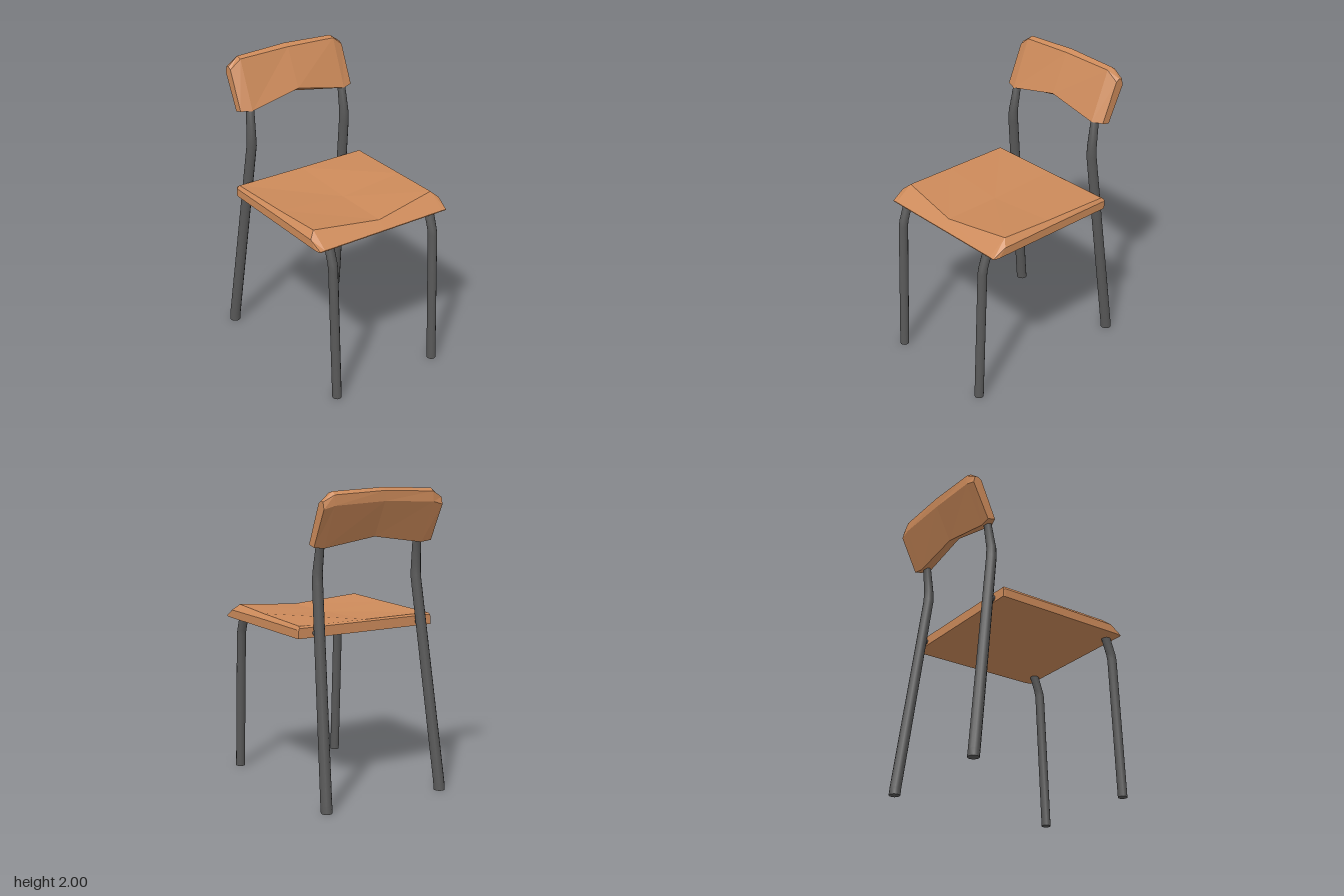
import * as THREE from 'three';
import { toCreasedNormals } from 'three/addons/utils/BufferGeometryUtils.js';

// Skin a closed solid over rings of points; rings run clockwise around the loft direction.
function loft(rings) {
  const n = rings[0].length, last = (rings.length - 1) * n, index = [];
  for (let r = 0; r < rings.length - 1; r++) {
    for (let i = 0; i < n; i++) {
      const a = r * n + i, b = r * n + (i + 1) % n;
      index.push(a, a + n, b + n, a, b + n, b);
    }
  }
  for (let i = 1; i < n - 1; i++) {
    index.push(0, i, i + 1, last, last + i + 1, last + i);
  }
  const geo = new THREE.BufferGeometry();
  geo.setAttribute('position', new THREE.Float32BufferAttribute(rings.flat(2), 3));
  geo.setIndex(index);
  const flat = geo.toNonIndexed();
  flat.computeVertexNormals();
  return flat;
}

// Leg through [x, y, z, radius] stations, with level rings so the feet sit flat.
function legGeometry(stations, sides = 12) {
  const rings = stations.map(([x, y, z, r]) => Array.from({ length: sides }, (_, i) => {
    const a = i / sides * Math.PI * 2;
    return [x + Math.cos(a) * r, y, z + Math.sin(a) * r];
  }));
  return toCreasedNormals(loft(rings), 0.8);
}

// Seat cross-section: top, side and bottom points, each [x, y, z]; the centre is [y, z].
function seatRing(top, centre, side, bottom) {
  const mirror = ([x, y, z]) => [-x, y, z];
  return [mirror(top), [0, ...centre], top, side, bottom, mirror(bottom), mirror(side)];
}

export function createModel() {
  const wood = new THREE.MeshStandardMaterial({ color: 0xcc8a5a });
  const metal = new THREE.MeshStandardMaterial({ color: 0x585858 });
  wood.name = 'wood';
  metal.name = 'darkMetal';
  const chair = new THREE.Group();
  chair.name = 'chair';
  const add = (name, geometry, material) => {
    const mesh = new THREE.Mesh(geometry, material);
    mesh.name = name;
    chair.add(mesh);
    return mesh;
  };

  // Seat: dished top, bevelled sides and a front edge sloping down to a thin lip
  add('seat', loft([
    seatRing([0.5, 1.145, -0.41], [1.145, -0.41], [0.505, 1.13, -0.41], [0.505, 1.08, -0.41]),
    seatRing([0.492, 1.157, -0.395], [1.155, -0.395], [0.508, 1.135, -0.395], [0.508, 1.08, -0.395]),
    seatRing([0.478, 1.168, 0.08], [1.138, 0.1], [0.506, 1.14, 0.08], [0.506, 1.083, 0.08]),
    seatRing([0.462, 1.18, 0.435], [1.137, 0.495], [0.505, 1.14, 0.47], [0.505, 1.086, 0.52]),
    seatRing([0.46, 1.092, 0.56], [1.092, 0.56], [0.495, 1.09, 0.56], [0.495, 1.086, 0.56]),
  ]), wood);

  // Backrest: leaning panel with an arched lower edge and bevelled ends, [y, z] per section
  const end = [[1.66, -0.43], [1.915, -0.54], [1.93, -0.565], [1.925, -0.59], [1.88, -0.6], [1.645, -0.485]];
  const shoulder = [[1.655, -0.405], [1.975, -0.535], [1.985, -0.575], [1.965, -0.603], [1.9, -0.605], [1.635, -0.48]];
  const middle = [[1.73, -0.415], [1.985, -0.535], [2.0, -0.58], [1.98, -0.603], [1.915, -0.6], [1.69, -0.49]];
  const sections = [[-0.44, end], [-0.365, shoulder], [0, middle], [0.365, shoulder], [0.44, end]];
  add('backrest', loft(sections.map(([x, ring]) => ring.map(([y, z]) => [x, y, z]))), wood);

  // Legs: bent front pair, and rear pair rising to carry the backrest
  for (const [side, frontX, footX, seatX, bendX] of [
    ['left', 0.39, 0.415, 0.385, 0.37],
    ['right', -0.4, -0.463, -0.398, -0.377],
  ]) {
    const top = Math.sign(bendX) * 0.365;
    add(side + 'FrontLeg', legGeometry([
      [frontX, 0, 0.6, 0.031], [frontX, 0.94, 0.558, 0.031],
      [frontX, 0.98, 0.55, 0.031], [frontX, 1.1, 0.508, 0.031],
    ]), metal);
    add(side + 'RearLeg', legGeometry([
      [footX, 0, -0.588, 0.037], [footX, 0.05, -0.583, 0.037],
      [bendX, 1.41, -0.413, 0.034], [bendX, 1.48, -0.413, 0.032],
      [top, 1.65, -0.435, 0.027], [top, 1.71, -0.46, 0.025],
    ]), metal);

    // Short peg joining the seat to the rear leg
    const peg = add(side + 'SeatPeg', new THREE.CylinderGeometry(0.02, 0.02, 0.07, 10), metal);
    peg.rotation.x = Math.PI / 2;
    peg.position.set(seatX, 1.108, -0.42);
  }
  return chair;
}
